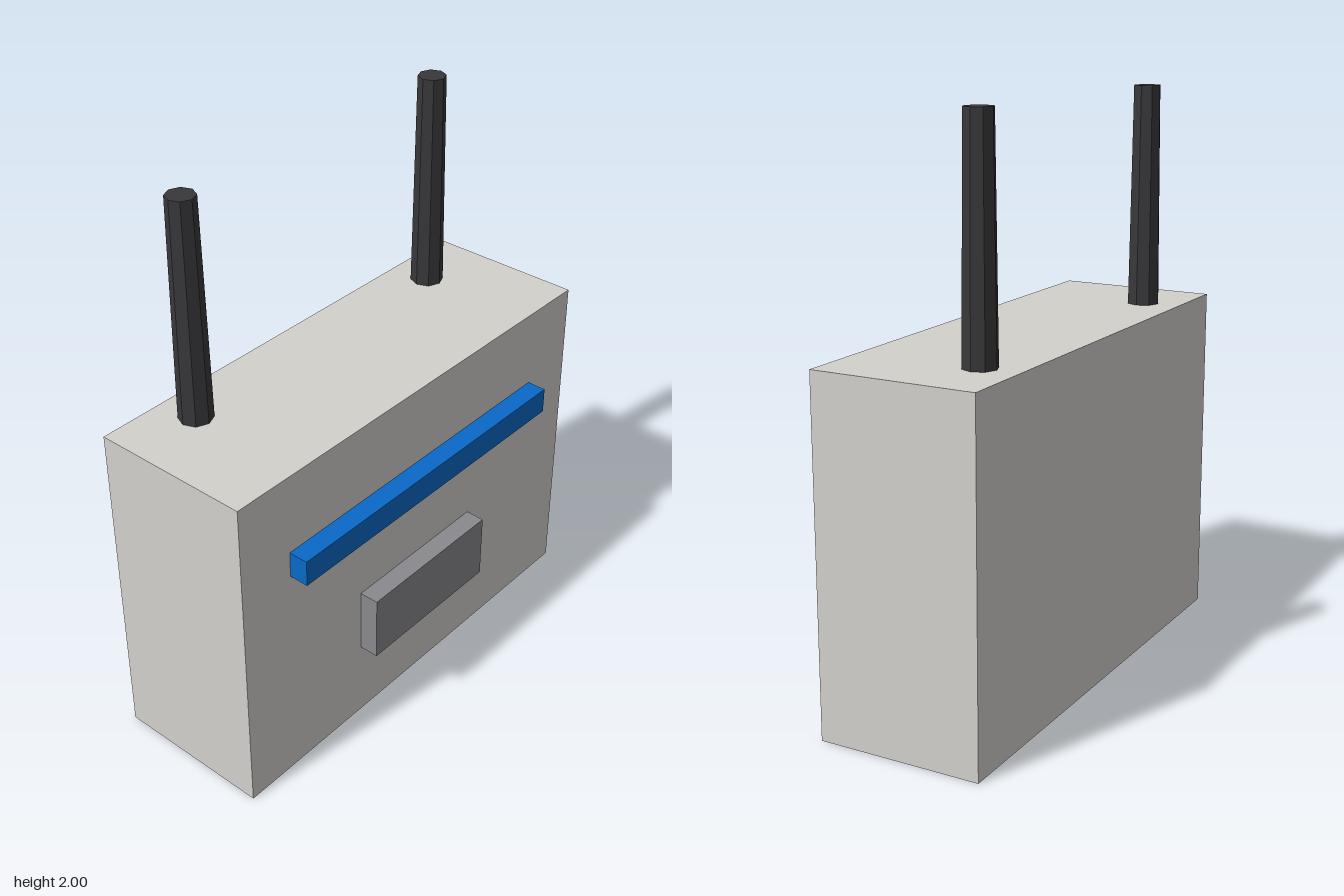
import * as THREE from 'three';

function paint(color, flatShading = false) {
  const material = new THREE.MeshStandardMaterial({ flatShading });
  material.color.set(color);
  return material;
}

// Box given by its size and centre
function box(name, color, [w, h, d], [x, y, z]) {
  const mesh = new THREE.Mesh(new THREE.BoxGeometry(w, h, d), paint(color));
  mesh.name = name;
  mesh.position.set(x, y, z);
  return mesh;
}

export function createModel() {
  const model = new THREE.Group();
  model.name = 'routerBox';

  // Housing with the raised strip and panel on its front
  model.add(
    box('housing', 0xd2d1cc, [1.7, 1.22, 0.58], [0, 0.61, -0.035]),
    box('lightStrip', 0x0a69c8, [1.27, 0.095, 0.075], [0, 0.8825, 0.2875]),
    box('frontPanel', 0x8a898e, [0.59, 0.245, 0.075], [0, 0.4175, 0.2875])
  );

  // Tapered eight-sided antennas
  const antennaGeometry = new THREE.CylinderGeometry(0.049, 0.0585, 0.78, 8);
  const antennaMaterial = paint(0x38383a, true);
  for (const side of [-1, 1]) {
    const antenna = new THREE.Mesh(antennaGeometry, antennaMaterial);
    antenna.name = side > 0 ? 'leftAntenna' : 'rightAntenna';
    antenna.position.set(side * 0.585, 1.61, -0.185);
    model.add(antenna);
  }

  return model;
}
